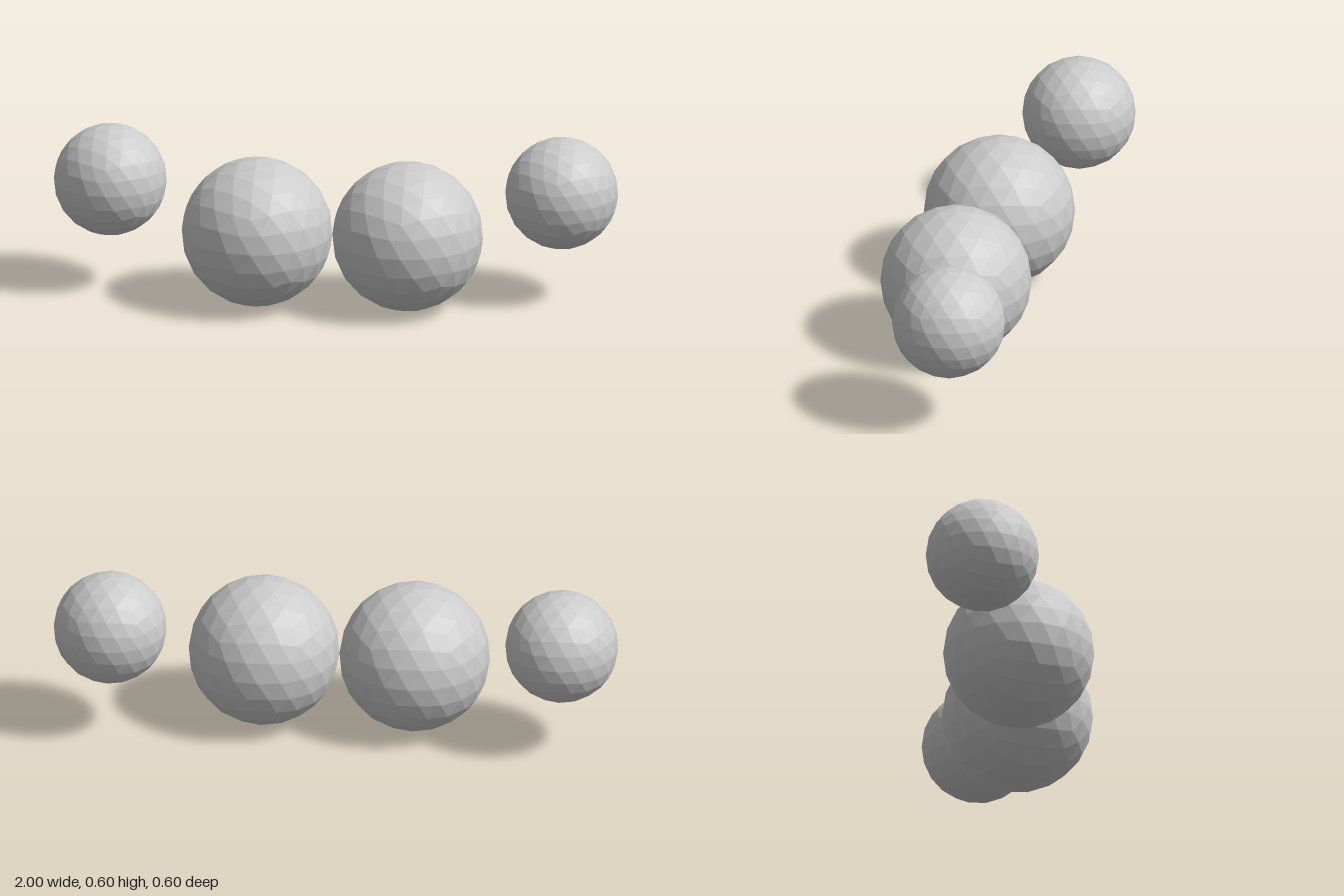
import * as THREE from 'three';

const material = new THREE.MeshStandardMaterial({ color: 0xcccccc, flatShading: true });

// Faceted ball with a vertex at its top and bottom
function ball(name, radius, x, y, z) {
  const geometry = new THREE.IcosahedronGeometry(radius, 3);
  geometry.rotateX(-Math.atan((1 + Math.sqrt(5)) / 2));
  const mesh = new THREE.Mesh(geometry, material);
  mesh.name = name;
  mesh.position.set(x, y, z);
  return mesh;
}

export function createModel() {
  const group = new THREE.Group();
  group.name = 'fourBalls';
  for (const [side, s] of [['left', 1], ['right', -1]]) {
    // Large inner pair touching at the centre, small outer pair higher and further back
    group.add(ball(side + 'InnerBall', 0.267, s * 0.267, 0.267, 0.033));
    group.add(ball(side + 'OuterBall', 0.2, s * 0.8, 0.4, -0.1));
  }
  return group;
}
